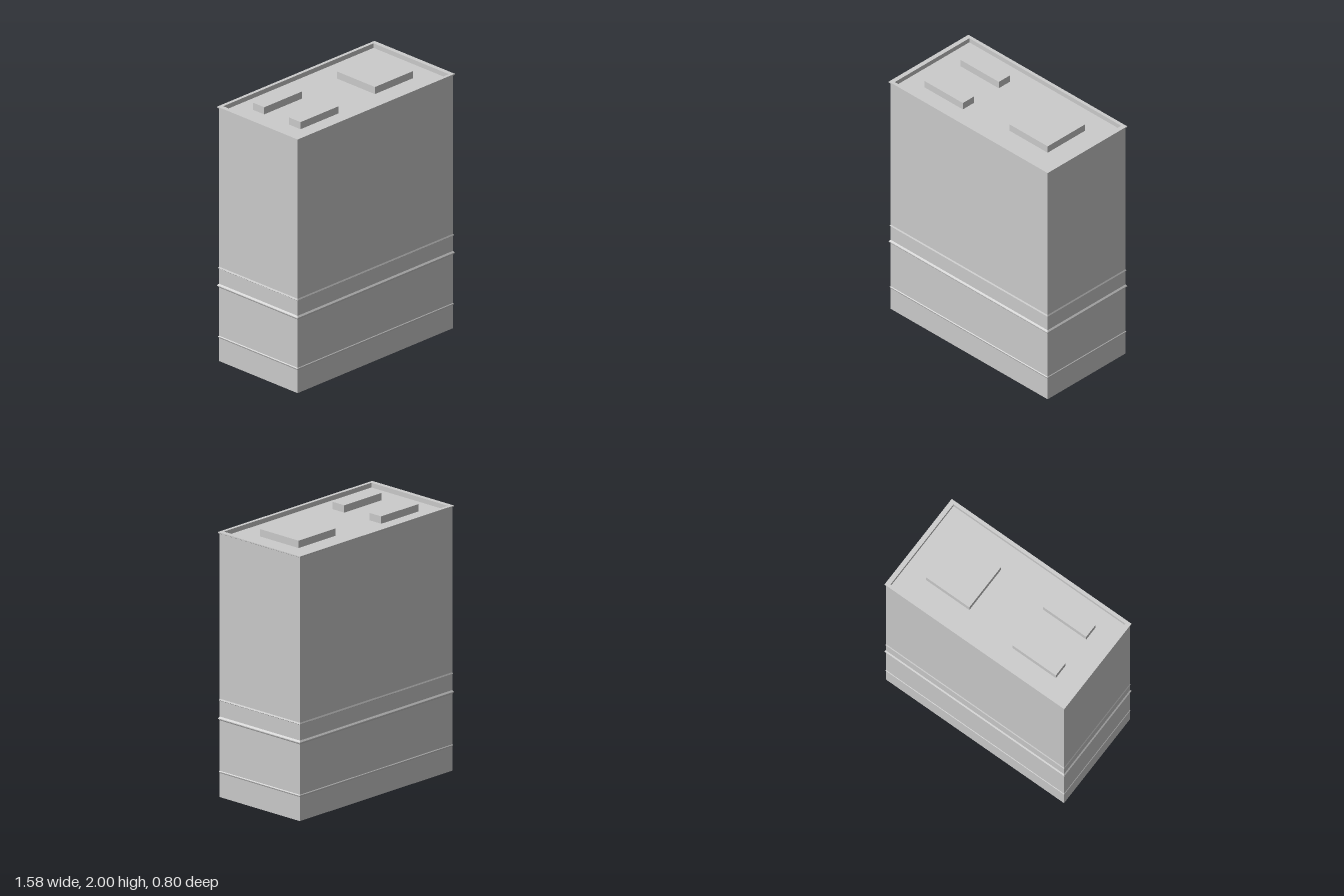
import * as THREE from 'three';

const HX = 0.783, HZ = 0.392; // half width and half depth of the walls
const material = new THREE.MeshStandardMaterial({ color: 0xcccccc, flatShading: true, side: THREE.DoubleSide });

// Stack of rectangular rings [y, halfX, halfZ] joined by flat faces, listed from the bottom up
function rectLoft(rings, capped) {
  const corners = rings.map(([y, x, z]) => [[x, y, z], [x, y, -z], [-x, y, -z], [-x, y, z]]);
  const pos = [];
  const quad = (a, b, c, d) => pos.push(...a, ...b, ...c, ...a, ...c, ...d);
  for (let i = 0; i < corners.length - 1; i++) {
    const lo = corners[i], hi = corners[i + 1];
    for (let k = 0; k < 4; k++) {
      const n = (k + 1) % 4;
      quad(lo[k], lo[n], hi[n], hi[k]);
    }
  }
  if (capped) quad(...corners[corners.length - 1]);
  const geometry = new THREE.BufferGeometry();
  geometry.setAttribute('position', new THREE.Float32BufferAttribute(pos, 3));
  geometry.computeVertexNormals();
  return geometry;
}

export function createModel() {
  const model = new THREE.Group();
  const add = (name, geometry) => {
    const mesh = new THREE.Mesh(geometry, material);
    mesh.name = name;
    model.add(mesh);
    return mesh;
  };
  const ring = (y, out = 0) => [y, HX + out, HZ + out];

  // Hollow walls, open underneath, in storeys parted by mouldings
  add('baseWalls', rectLoft([ring(0), ring(0.18)]));
  add('baseMoulding', rectLoft([ring(0.18), ring(0.188, 0.004), ring(0.192, 0.004), ring(0.197)]));
  add('groundFloorWalls', rectLoft([ring(0.197), ring(0.573)]));
  add('corniceMoulding', rectLoft([ring(0.573), ring(0.582, 0.005), ring(0.584, 0.009), ring(0.59, 0.009), ring(0.602)]));
  add('friezeWalls', rectLoft([ring(0.602), ring(0.72)]));
  add('sillMoulding', rectLoft([ring(0.72), ring(0.724, 0.005), ring(0.735)]));
  add('upperWalls', rectLoft([ring(0.735), ring(1.967)]));

  // Projecting rim, parapet and sunken roof
  add('parapetAndRoof', rectLoft([
    ring(1.967), ring(1.972, 0.009), ring(1.98, 0.009),
    [1.98, 0.757, 0.375], [1.945, 0.757, 0.375],
  ], true));

  // Rooftop units
  const roofBox = (name, x, z, w, d) =>
    add(name, new THREE.BoxGeometry(w, 0.055, d)).position.set(x, 1.9725, z);
  for (const side of [-1, 1]) roofBox('roofVent', -0.406, side * 0.181, 0.382, 0.113);
  roofBox('roofHousing', 0.392, 0, 0.382, 0.378);

  return model;
}
